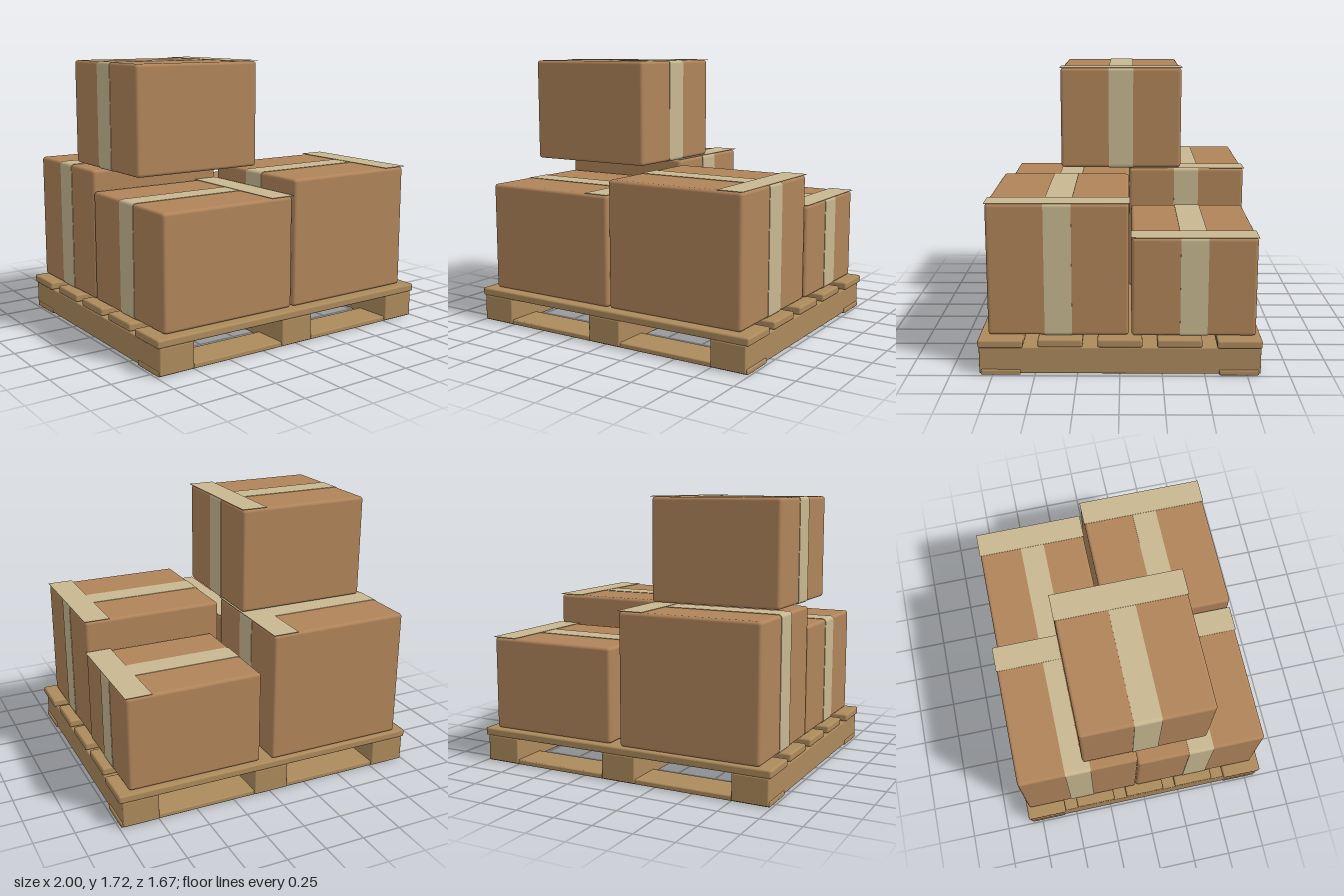
import * as THREE from 'three';
import { RoundedBoxGeometry } from 'three/addons/geometries/RoundedBoxGeometry.js';

const cardboard = new THREE.MeshStandardMaterial({ color: 0xb0845a });
const tape = new THREE.MeshStandardMaterial({ color: 0xc8b890 });
const wood = new THREE.MeshStandardMaterial({ color: 0xac8a5c });
const TAPE_WIDTH = 0.162;
const TAPE_LIFT = 0.003;

// Rounded block given by its [min, max] on each axis
function block(name, [x0, x1], [y0, y1], [z0, z1], radius, material) {
  const geometry = new RoundedBoxGeometry(x1 - x0, y1 - y0, z1 - z0, 3, radius);
  const mesh = new THREE.Mesh(geometry, material);
  mesh.position.set((x0 + x1) / 2, (y0 + y1) / 2, (z0 + z1) / 2);
  mesh.name = name;
  return mesh;
}

// Outline of a rectangle with rounded corners, centred on the origin
function roundedRect(w, h, r) {
  const s = new THREE.Shape();
  const x = w / 2 - r, y = h / 2 - r;
  s.absarc(x, y, r, 0, Math.PI / 2);
  s.absarc(-x, y, r, Math.PI / 2, Math.PI);
  s.absarc(-x, -y, r, Math.PI, Math.PI * 1.5);
  s.absarc(x, -y, r, Math.PI * 1.5, Math.PI * 2);
  s.closePath();
  return s;
}

// Cardboard carton with a band of tape around it and a strip along its +x top edge
function carton(name, xs, ys, zs) {
  const group = new THREE.Group();
  group.name = name;
  group.add(block('carton', xs, ys, zs, 0.02, cardboard));
  const w = xs[1] - xs[0], h = ys[1] - ys[0], d = zs[1] - zs[0];
  const cx = (xs[0] + xs[1]) / 2, cy = (ys[0] + ys[1]) / 2, cz = (zs[0] + zs[1]) / 2;

  const bandShape = roundedRect(w + TAPE_LIFT * 2, h + TAPE_LIFT * 2, 0.022);
  const bandGeometry = new THREE.ExtrudeGeometry(bandShape, {
    depth: TAPE_WIDTH, bevelEnabled: false, curveSegments: 4,
  });
  const band = new THREE.Mesh(bandGeometry, tape);
  band.position.set(cx, cy, cz - TAPE_WIDTH / 2);
  band.name = 'tapeBand';

  const strip = new THREE.Mesh(new THREE.BoxGeometry(TAPE_WIDTH + 0.003, 0.003, d + 0.008), tape);
  strip.position.set(xs[1] + TAPE_LIFT - TAPE_WIDTH / 2, ys[1] + TAPE_LIFT + 0.001, cz);
  strip.name = 'tapeEdgeStrip';
  group.add(band, strip);
  return group;
}

function createPallet() {
  const pallet = new THREE.Group();
  pallet.name = 'pallet';
  // Deck boards, the outer two slightly longer
  for (let i = -2; i <= 2; i++) {
    const z = i * 0.351, half = Math.abs(i) === 2 ? 1 : 0.985;
    pallet.add(block('deckBoard', [-half, half], [0.17, 0.22], [z - 0.132, z + 0.132], 0.012, wood));
  }
  // Stringers running front to back
  for (const x of [-0.87, -0.003, 0.865]) {
    pallet.add(block('stringer', [x - 0.115, x + 0.115], [0.006, 0.171], [-0.83, 0.83], 0.008, wood));
  }
  // Bottom boards
  for (const z of [-0.702, 0.702]) {
    pallet.add(block('bottomBoard', [-0.99, 0.99], [0, 0.032], [z - 0.117, z + 0.117], 0.008, wood));
  }
  return pallet;
}

export function createModel() {
  const model = new THREE.Group();
  model.name = 'loadedPallet';
  model.add(
    createPallet(),
    carton('frontRightCarton', [0.005, 0.92], [0.222, 1.018], [-0.053, 0.78]),
    carton('frontLeftCarton', [-0.925, -0.01], [0.222, 0.918], [-0.053, 0.78]),
    carton('backRightCarton', [0.065, 0.927], [0.222, 0.818], [-0.803, -0.068]),
    carton('backLeftCarton', [-0.925, -0.01], [0.222, 1.048], [-0.818, -0.055]),
    carton('topCarton', [-0.866, -0.003], [1.056, 1.716], [-0.397, 0.4]),
  );
  return model;
}
